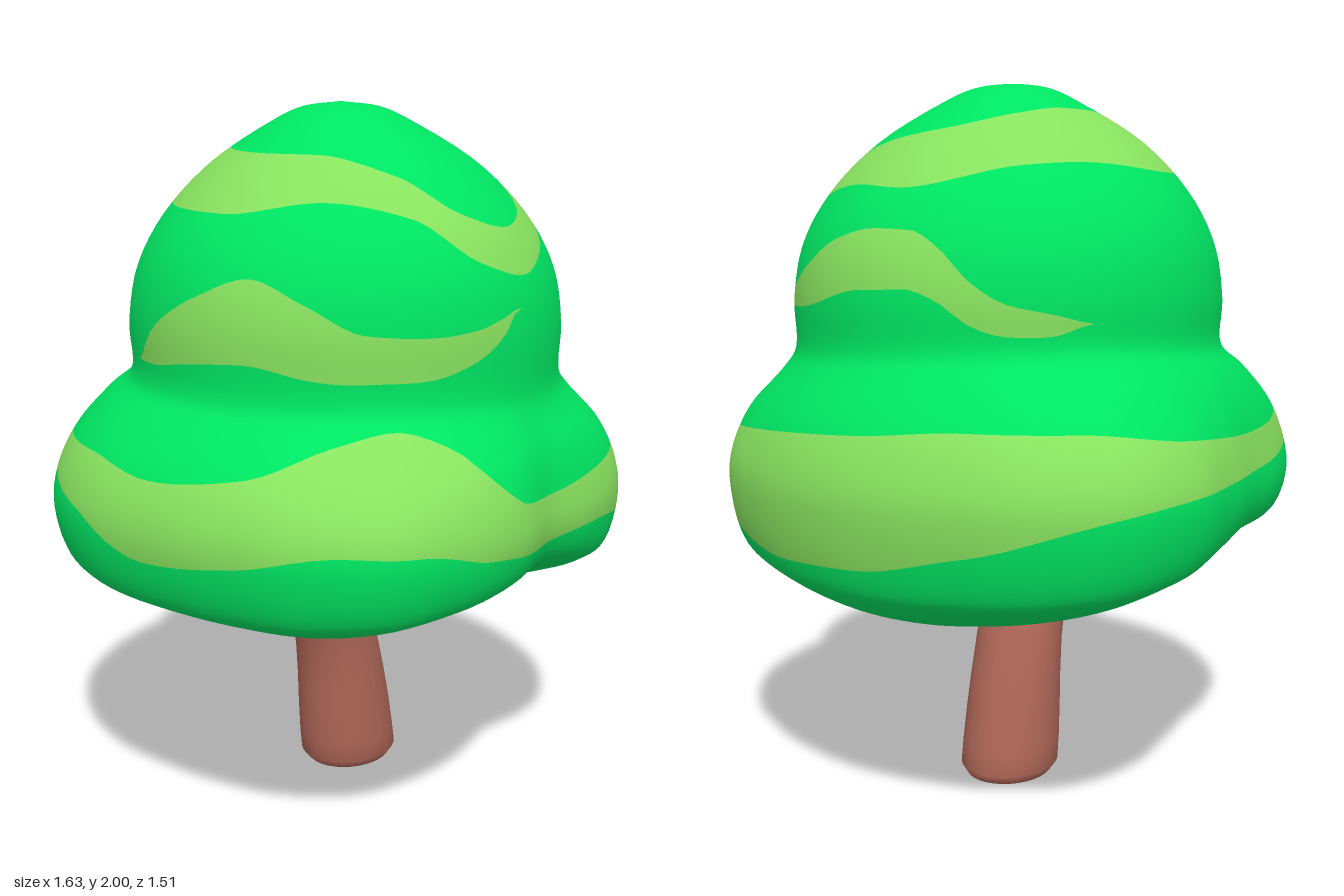
import * as THREE from 'three';

const DEG = Math.PI / 180;

// Smooth periodic interpolation of [degrees, value, ...] keys, without overshoot
function periodic(keys, col = 1) {
  const n = keys.length;
  const key = i => {
    const k = keys[((i % n) + n) % n];
    return [k[0] + 360 * Math.floor(i / n), k[col]];
  };
  const slope = i => {
    const a = key(i), b = key(i + 1);
    return (b[1] - a[1]) / (b[0] - a[0]);
  };
  const tangent = i => {
    const s = slope(i - 1), t = slope(i);
    return s * t <= 0 ? 0 : 2 * s * t / (s + t);
  };
  return deg => {
    let d = ((deg % 360) + 360) % 360;
    if (d < keys[0][0]) d += 360;
    let i = n - 1;
    while (keys[i][0] > d) i--;
    const [x0, y0] = key(i), [x1, y1] = key(i + 1), h = x1 - x0, t = (d - x0) / h;
    return y0 * (1 + 2 * t) * (1 - t) ** 2 + tangent(i) * h * t * (1 - t) ** 2
      + y1 * t * t * (3 - 2 * t) + tangent(i + 1) * h * t * t * (t - 1);
  };
}
const evenly = values => periodic(values.map((v, i) => [i * 360 / values.length, v]));

// Angles run from the front (+z) towards +x
const skirtRadius = evenly([0.72, 0.76, 0.805, 0.82, 0.807, 0.803, 0.81, 0.83, 0.87, 0.893, 0.855, 0.785,
  0.752, 0.774, 0.806, 0.823, 0.83, 0.825, 0.815, 0.83, 0.865, 0.882, 0.835, 0.775]);
const hemHeight = evenly([0.745, 0.65, 0.59, 0.565, 0.59, 0.655, 0.735, 0.72, 0.675, 0.66, 0.66, 0.70]);

// Stripes as [degrees, upper edge, lower edge]
const crownStripe = [[0, 1.675, 1.555], [15, 1.71, 1.605], [30, 1.79, 1.67], [45, 1.815, 1.695], [60, 1.835, 1.71],
  [90, 1.86, 1.70], [120, 1.895, 1.75], [150, 1.915, 1.76], [180, 1.915, 1.745], [210, 1.89, 1.74],
  [240, 1.87, 1.72], [270, 1.86, 1.71], [300, 1.855, 1.74], [329, 1.80, 1.70], [345, 1.71, 1.595]];
const brokenStripe = [[23, 1.42, 1.42], [30, 1.425, 1.395], [42, 1.445, 1.385], [56, 1.51, 1.39], [66, 1.565, 1.41],
  [80, 1.595, 1.44], [92, 1.59, 1.445], [100, 1.55, 1.42], [109, 1.46, 1.355], [117, 1.41, 1.33],
  [128, 1.385, 1.33], [139, 1.36, 1.36], [242, 1.32, 1.32], [255, 1.43, 1.32], [270, 1.51, 1.34],
  [285, 1.56, 1.35], [300, 1.50, 1.32], [314, 1.43, 1.31], [330, 1.42, 1.315], [341, 1.43, 1.35],
  [350, 1.455, 1.41], [356, 1.475, 1.475]];
const skirtStripe = [[0, 0.995, 0.87], [15, 1.02, 0.88], [30, 1.045, 0.86], [47, 1.06, 0.79], [70, 1.08, 0.75],
  [90, 1.095, 0.765], [110, 1.115, 0.825], [130, 1.115, 0.91], [150, 1.085, 0.95], [180, 1.06, 0.96],
  [225, 1.1, 1.01], [250, 1.1, 0.96], [270, 1.07, 0.87], [290, 1.1, 0.90], [306, 1.17, 0.95],
  [320, 1.2, 0.945], [331, 1.16, 0.91], [339, 1.07, 0.89], [347, 1.005, 0.875]];

const HEM = 15; // index of the lowest point in the outline below

// Outline of the foliage at one angle: crown, neck, skirt, hem and hollow underside
function outline(deg) {
  const R = skirtRadius(deg), b = hemHeight(deg), cos = Math.cos(deg * DEG), sin = Math.sin(deg * DEG);
  const d = 1.01 + 0.02 * cos + 0.012 * sin, bulge = cos * cos;
  const tilt = 0.015 * (sin - cos); // the neck sits higher at the back right
  const out = t => THREE.MathUtils.lerp(0.615, R, t);
  const up = t => THREE.MathUtils.lerp(b, 0.9, t);
  const hollow = t => THREE.MathUtils.lerp(b, 1.02, t);
  const pts = [[0, 2], [0.11 * d, 1.985], [0.205 * d, 1.94], [(0.36 + 0.022 * bulge) * d, 1.83],
    [(0.497 + 0.015 * bulge) * d, 1.69], [(0.577 + 0.005 * bulge) * d, 1.55], [0.606 * d, 1.4],
    [0.605 * d, 1.265 + tilt], [out(0.25), 1.205 + tilt], [out(0.68), 1.11 + tilt / 2],
    [R * 0.985, 1.0], [R, 0.9], [R * 0.955, up(0.43)], [R * 0.88, up(0.24)], [R * 0.77, up(0.1)], [R * 0.55, b],
    [R * 0.37, hollow(0.33)], [R * 0.2, hollow(0.8)], [0, 1.02]];
  return new THREE.CatmullRomCurve3(pts.map(([r, y]) => new THREE.Vector3(r, y, 0)));
}

function place(curve, deg, u) {
  const p = curve.getPoint(THREE.MathUtils.clamp(u, 0, 1));
  return new THREE.Vector3(p.x * Math.sin(deg * DEG), p.y, p.x * Math.cos(deg * DEG));
}

// Position along the outline where it passes a given height
function findHeight(curve, y) {
  let lo = 0, hi = HEM / 18;
  for (let i = 0; i < 22; i++) {
    const mid = (lo + hi) / 2;
    if (curve.getPoint(mid).y > y) lo = mid; else hi = mid;
  }
  return (lo + hi) / 2;
}

// Foliage in bands that follow the stripe edges, alternating between two materials
function foliageGeometry() {
  const cols = 120, rows = [14, 6, 12, 6, 16, 10, 32];
  const edges = [crownStripe, brokenStripe, skirtStripe].map(k => [
    periodic(k), periodic(k.map(([a, hi, lo]) => [a, hi - lo]))]);
  const bands = rows.map(() => ({ pos: [], nor: [] }));
  for (let j = 0; j <= cols; j++) {
    const deg = j * 360 / cols, e = 2;
    const here = outline(deg), before = outline(deg - e), after = outline(deg + e);
    const cuts = [0];
    for (const [top, width] of edges) {
      const y = top(deg), w = Math.max(0, width(deg));
      const u = findHeight(here, y);
      cuts.push(u, w < 1e-4 ? u : findHeight(here, y - w));
    }
    cuts.push(1);
    rows.forEach((n, k) => {
      for (let i = 0; i <= n; i++) {
        const u = THREE.MathUtils.lerp(cuts[k], cuts[k + 1], i / n);
        const down = place(here, deg, u + 0.025).sub(place(here, deg, u - 0.025));
        const along = place(after, deg + e, u).sub(place(before, deg - e, u));
        const normal = down.cross(along).normalize();
        if (u < 1e-4) normal.set(0, 1, 0);
        if (u > 1 - 1e-4) normal.set(0, -1, 0);
        bands[k].pos.push(place(here, deg, u));
        bands[k].nor.push(normal);
      }
    });
  }
  const pos = [], nor = [], index = [], geo = new THREE.BufferGeometry();
  rows.forEach((n, k) => {
    const base = pos.length, start = index.length;
    pos.push(...bands[k].pos);
    nor.push(...bands[k].nor);
    const triangle = (a, b, c) => {
      const area = pos[b].clone().sub(pos[a]).cross(pos[c].clone().sub(pos[a])).length();
      if (area > 1e-9) index.push(a, b, c);
    };
    for (let j = 0; j < cols; j++) for (let i = 0; i < n; i++) {
      const a = base + j * (n + 1) + i, d = a + n + 1;
      triangle(a, a + 1, d + 1);
      triangle(a, d + 1, d);
    }
    geo.addGroup(start, index.length - start, k % 2);
  });
  geo.setAttribute('position', new THREE.Float32BufferAttribute(pos.flatMap(p => p.toArray()), 3));
  geo.setAttribute('normal', new THREE.Float32BufferAttribute(nor.flatMap(p => p.toArray()), 3));
  geo.setIndex(index);
  return geo;
}

// Trunk: a cylinder bent and sized by [height, centre x, radius x, radius z]
function trunkGeometry() {
  const sections = [[0, 0.092, 0.001, 0.001], [0.004, 0.092, 0.10, 0.085], [0.014, 0.09, 0.138, 0.12],
    [0.04, 0.086, 0.157, 0.138], [0.1, 0.077, 0.155, 0.138], [0.2, 0.063, 0.148, 0.135], [0.3, 0.048, 0.137, 0.131],
    [0.4, 0.029, 0.126, 0.127], [0.48, 0.005, 0.121, 0.125], [0.57, -0.022, 0.119, 0.122],
    [0.7, -0.063, 0.12, 0.12], [1.03, -0.13, 0.11, 0.1]];
  const geo = new THREE.CylinderGeometry(1, 1, 1, 32, sections.length - 1, true);
  const p = geo.attributes.position;
  for (let i = 0; i < p.count; i++) {
    const [y, cx, rx, rz] = sections[Math.round((p.getY(i) + 0.5) * (sections.length - 1))];
    p.setXYZ(i, cx + p.getX(i) * rx, y, -0.035 + p.getZ(i) * rz);
  }
  geo.computeVertexNormals();
  return geo;
}

export function createModel() {
  const material = (name, color) => {
    const m = new THREE.MeshStandardMaterial({ color });
    m.name = name;
    return m;
  };
  const leafGreen = material('leafGreen', 0x00e562);
  const limeGreen = material('limeGreen', 0x88e25f);
  const bark = material('barkBrown', 0xae6657);

  const model = new THREE.Group();
  model.name = 'tree';
  const add = (name, geo, mat) => {
    const mesh = new THREE.Mesh(geo, mat);
    mesh.name = name;
    model.add(mesh);
  };

  add('foliage', foliageGeometry(), [leafGreen, limeGreen]);
  add('trunk', trunkGeometry(), bark);

  // Side branch rising into the foliage
  const path = new THREE.CatmullRomCurve3([[0.06, 0.4], [0.115, 0.485], [0.19, 0.59], [0.36, 0.8]]
    .map(([x, y]) => new THREE.Vector3(x, y, -0.017)));
  add('branch', new THREE.TubeGeometry(path, 16, 0.033, 14), bark);
  return model;
}
